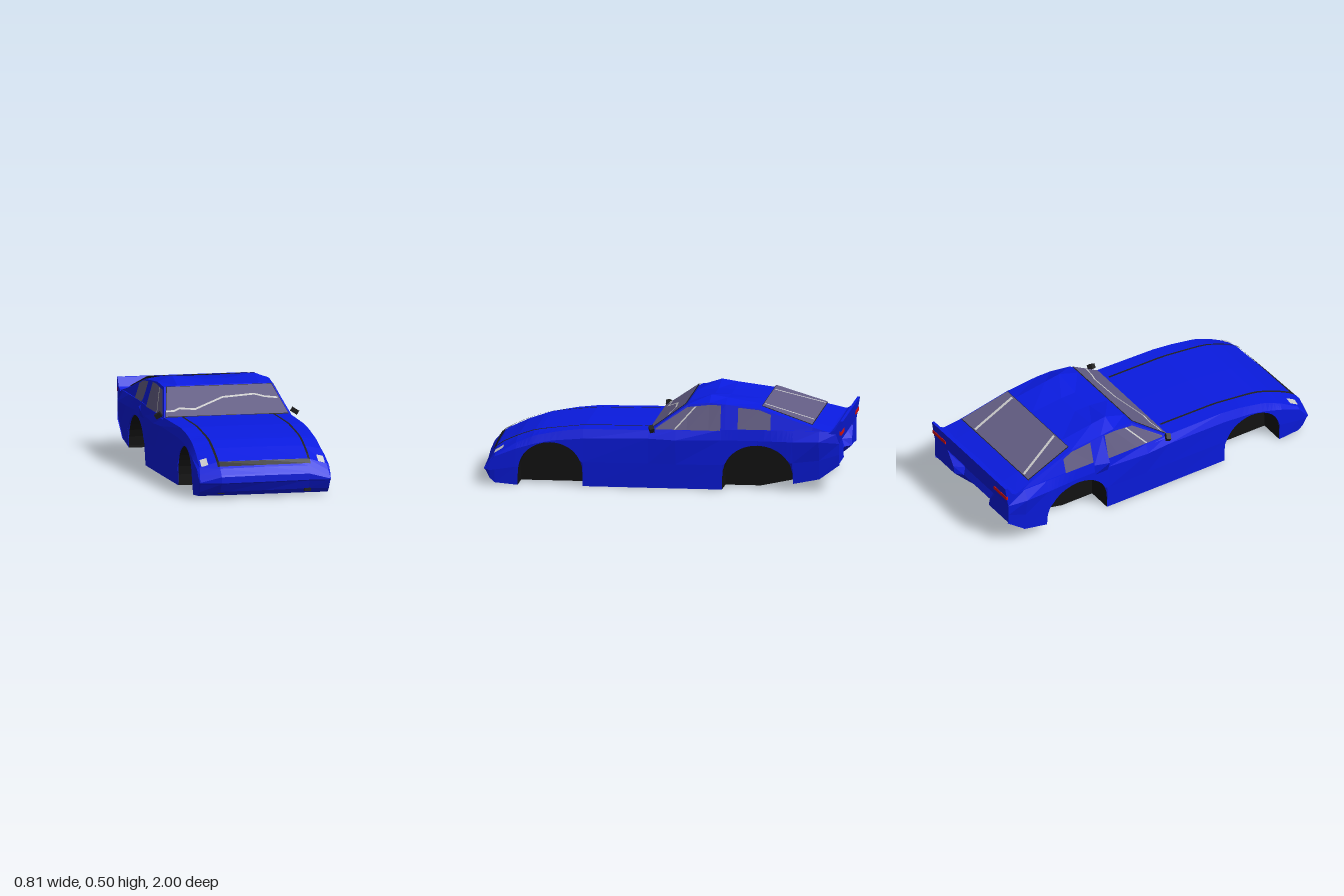
import * as THREE from 'three';

const mat = (color) => new THREE.MeshStandardMaterial({ color, flatShading: true, side: THREE.DoubleSide });
const BLUE = mat(0x0a1be0), DARK = mat(0x202020), FLOOR = mat(0x121212), GLASS = mat(0x635d84);
const PALE = mat(0xc4c4c4), RED = mat(0xd81010);
const range = (a, b, n) => Array.from({ length: n + 1 }, (_, i) => a + (b - a) * i / n);

// Body stations: z, underside y, crease y, top y, crease half width, top half width
const BODY = [
  [-0.98, 0.15, 0.27, 0.33, 0.365, 0.36], [-0.87, 0.07, 0.28, 0.335, 0.39, 0.36],
  [-0.72, 0.04, 0.275, 0.335, 0.38, 0.36], [-0.53, 0, 0.275, 0.335, 0.37, 0.36],
  [-0.33, 0, 0.275, 0.33, 0.37, 0.36], [-0.08, 0, 0.27, 0.322, 0.382, 0.36],
  [0.07, 0, 0.275, 0.318, 0.375, 0.352], [0.43, 0, 0.265, 0.315, 0.366, 0.345],
  [0.6, 0, 0.25, 0.296, 0.364, 0.345], [0.7, 0, 0.23, 0.284, 0.367, 0.347],
  [0.8, 0, 0.2, 0.25, 0.37, 0.35], [0.92, 0.01, 0.155, 0.194, 0.37, 0.355],
  [0.96, 0.035, 0.12, 0.16, 0.37, 0.36], [0.988, 0.08, 0.09, 0.128, 0.368, 0.364],
  [0.995, 0.086, 0.088, 0.118, 0.368, 0.364],
];
// Cabin stations: z, roof edge half width, edge y, ridge y, centre y
const CABIN = [
  [-0.93, 0.36, 0.33, 0.335, 0.335], [-0.83, 0.347, 0.355, 0.361, 0.361],
  [-0.54, 0.32, 0.445, 0.458, 0.456], [-0.35, 0.32, 0.464, 0.488, 0.476],
  [-0.26, 0.313, 0.47, 0.502, 0.478], [-0.14, 0.306, 0.457, 0.463, 0.463],
  [0.065, 0.352, 0.316, 0.318, 0.318],
];
// Uneven nose outline: x, setback
const NOSE = [[-0.36, 0.022], [-0.25, 0], [0, 0.012], [0.25, 0.03], [0.36, 0.022]];
// Wheel arches: centre z, half length, height of the straight part, rise
const ARCHES = [[-0.53, 0.195, 0.055, 0.195], [0.61, 0.178, 0.06, 0.18]];

// Straight-line lookup in a station table
function at(table, z) {
  let i = 0;
  while (i < table.length - 2 && z > table[i + 1][0]) i++;
  const a = table[i], b = table[i + 1];
  const t = THREE.MathUtils.clamp((z - a[0]) / (b[0] - a[0]), 0, 1);
  return a.map((v, k) => v + (b[k] - v) * t);
}

// Surface through a row of equal-length sections of [x, y, z]
function loft(sections) {
  const pos = [];
  for (let i = 0; i < sections.length - 1; i++) {
    for (let j = 0; j < sections[i].length - 1; j++) {
      const a = sections[i][j], b = sections[i][j + 1];
      const c = sections[i + 1][j + 1], d = sections[i + 1][j];
      pos.push(...a, ...b, ...c, ...a, ...c, ...d);
    }
  }
  const g = new THREE.BufferGeometry();
  g.setAttribute('position', new THREE.Float32BufferAttribute(pos, 3));
  g.computeVertexNormals();
  return g;
}

// Full section from its right half, listed from the centre line outward
const mirrorSection = (half) => [...half.slice(1).reverse().map(([x, y, z]) => [-x, y, z]), ...half];

// Sets the nose back by its outline, fading out over the front of the hood
const setBack = ([x, y, z]) => [x, y, z - at(NOSE, x)[1] * THREE.MathUtils.clamp((z - 0.9) / 0.08, 0, 1)];
const bodySection = (half) => mirrorSection(half).map(setBack);

// Lengthwise columns, doubled where an arch begins and ends
function bodyColumns() {
  const cols = [];
  const plain = (z0, z1) => [z0, ...BODY.map((s) => s[0]).filter((z) => z > z0 && z < z1), z1]
    .forEach((z) => cols.push([z, at(BODY, z)[1]]));
  let start = -0.98;
  for (const [c, r, h, rise] of ARCHES) {
    plain(start, c - r);
    for (const a of range(Math.PI, 0, 16)) {
      cols.push([c + r * Math.cos(a), h + rise * Math.max(0, Math.sin(a)) ** 0.85]);
    }
    start = c + r;
  }
  plain(start, 0.995);
  return cols;
}

const edgeDrop = (z) => 0.028 * THREE.MathUtils.clamp((z - 0.55) / 0.37, 0, 1);
const sillWidth = (w) => Math.min(w - 0.006, 0.362);

// Hood or deck line across the car
const topLine = (z, yt, wt) => [[0, yt + 0.004, z], [0.25, yt + 0.002, z], [wt, yt - edgeDrop(z), z]];

function shellSection([z, low]) {
  const [, yb, ys, yt, w, wt] = at(BODY, z);
  return bodySection([...topLine(z, yt, wt), [w, Math.max(ys, low), z],
    [Math.min(w, 0.371), Math.max(low, (ys + yb) / 2), z], [sillWidth(w), low, z]]);
}

// Underside, which also forms the tunnel and inner wall of each wheel well
function underSection([z, low]) {
  const [, yb, , , w] = at(BODY, z);
  return bodySection([[0, yb, z], [0.215, yb, z], [0.215, low, z], [0.25, low, z], [sillWidth(w), low, z]]);
}

function cabinSection([z, x, ye, yr, yc]) {
  return mirrorSection([[0, yc, z], [0.07, yc, z], [0.23, yr, z], [x, ye, z], [0.362, 0.31, z]]);
}

// Points lying just above the hood, the windscreen, the rear window and the cabin sides
function onHood(x, z, lift = 0.005) {
  const [, , , yt, , wt] = at(BODY, z);
  const t = Math.max(0, (Math.abs(x) - 0.25) / (wt - 0.25));
  const [, y, zs] = setBack([x, yt + 0.002 - t * (edgeDrop(z) + 0.002), z]);
  return [x, y + lift, zs + lift * 0.4];
}
const onScreen = (x, y, lift) => [x, y + lift, 0.065 - 0.205 * (y - 0.318) / 0.145 + lift];
const onRear = (x, z, lift) => [x, at(CABIN, z)[4] + lift, z - lift * 0.3];
function onSide(s, z, y, lift) {
  const [, x, ye] = at(CABIN, z);
  const t = (y - 0.31) / Math.max(0.02, ye - 0.31);
  return [s * (0.362 + (x - 0.362) * t + lift), y, z];
}

export function createModel() {
  const model = new THREE.Group();
  const car = new THREE.Group();
  car.name = 'car';
  car.position.x = -0.007;
  model.add(car);
  const add = (name, geometry, material) => {
    const m = new THREE.Mesh(geometry, material);
    m.name = name;
    car.add(m);
    return m;
  };

  // Body shell, underside and the blunt nose edge
  const cols = bodyColumns();
  add('bodyShell', loft(cols.map(shellSection)), BLUE);
  const under = (test) => loft(cols.filter(([z]) => test(z)).map(underSection));
  add('floorAndWheelWells', under((z) => z >= -0.871 && z <= 0.921), FLOOR);
  add('frontValance', under((z) => z >= 0.919), BLUE);
  const noseTop = bodySection(topLine(0.995, 0.118, 0.366));
  add('noseEdge', loft([noseTop, noseTop.map(([x, , z]) => [x, 0.086, z])]), BLUE);
  add('cabin', loft(CABIN.map(cabinSection)), BLUE);

  // Tail panel, hollowed in the middle; rows give y, corner z, middle z, hollow half width
  const tail = [[0.07, -0.87, -0.88, 0.13], [0.16, -0.98, -0.945, 0.13], [0.2, -0.98, -0.93, 0.14],
    [0.265, -0.98, -0.94, 0.19], [0.275, -0.98, -0.98, 0.2], [0.33, -0.985, -0.985, 0.2]];
  add('tailPanel', loft(tail.map(([y, zo, zi, h]) => [-0.365, -h - 0.04, -h, h, h + 0.04, 0.365].map((x) =>
    [x, y, Math.abs(x) <= h ? zi : zo]))), BLUE);

  // Upswept tail lip
  const lip = new THREE.Shape([[0.92, 0.325], [0.955, 0.345], [0.985, 0.394], [1, 0.394], [0.982, 0.28], [0.97, 0.28]]
    .map(([x, y]) => new THREE.Vector2(x, y)));
  const lipGeometry = new THREE.ExtrudeGeometry(lip, { depth: 0.73, bevelEnabled: false });
  lipGeometry.rotateY(Math.PI / 2).translate(-0.365, 0, 0);
  add('tailLip', lipGeometry, BLUE);

  // Flared pillar behind the right door
  add('flaredPillar', loft([
    [[-0.322, 0.462, -0.335], [-0.4, 0.325, -0.34], [-0.372, 0.26, -0.335]],
    [[-0.322, 0.452, -0.42], [-0.368, 0.32, -0.42], [-0.374, 0.26, -0.42]]]), BLUE);

  // Windscreen and rear window with dark seals
  const screen = (m, lift) => loft([[0.32 - m, 0.342 + m], [0.455 + m, 0.292 + m]]
    .map(([y, x]) => [onScreen(-x, y, lift), onScreen(x, y, lift)]));
  add('windscreenSeal', screen(0.003, 0.002), DARK);
  add('windscreen', screen(0, 0.004), GLASS);
  const streak = [[-0.335, 0.343], [-0.29, 0.344], [-0.255, 0.355], [-0.17, 0.349], [0, 0.4],
    [0.18, 0.41], [0.235, 0.397], [0.305, 0.39]];
  add('windscreenStreak', loft(streak.map(([x, y]) =>
    [onScreen(x, y - 0.004, 0.006), onScreen(x, y + 0.004, 0.006)])), PALE);
  const rear = (m, lift) => loft([[-0.548 + m, 0.3 + m], [-0.825 - m, 0.33 + m]]
    .map(([z, x]) => [onRear(-x, z, lift), onRear(x, z, lift)]));
  add('rearWindowSeal', rear(0.003, 0.004), DARK);
  add('rearWindow', rear(0, 0.007), GLASS);
  for (const [x0, x1] of [[-0.28, -0.175], [0.205, 0.24]]) {
    add('rearWindowStreak', loft([[x0, -0.82], [x1, -0.555]].map(([x, z]) =>
      [onRear(x - 0.008, z, 0.009), onRear(x + 0.008, z, 0.009)])), PALE);
  }

  // Hood front vent
  add('frontVent', loft([0.925, 0.952].map((z) => [-0.262, -0.25, 0, 0.25, 0.262].map((x) => onHood(x, z)))), DARK);

  // Parts repeated on both sides
  for (const s of [1, -1]) {
    const side = (list, lift) => loft(list.map(([z, y0, y1]) => [onSide(s, z, y0, lift), onSide(s, z, y1, lift)]));
    add('doorWindow', side([[0.03, 0.325, 0.332], [-0.14, 0.325, 0.445], [-0.26, 0.325, 0.46],
      [-0.325, 0.325, 0.46]], 0.004), GLASS);
    add('quarterWindow', side([[-0.42, 0.335, 0.45], [-0.54, 0.335, 0.438], [-0.6, 0.335, 0.416]], 0.004), GLASS);
    add('doorWindowStreak', loft([[-0.07, 0.328], [-0.18, 0.45]].map(([z, y]) =>
      [onSide(s, z, y, 0.006), onSide(s, z - 0.01, y, 0.006)])), PALE);
    add('hoodStrip', loft(range(0.08, 0.93, 16).map((z) =>
      [onHood(s * 0.25, z), onHood(s * 0.262, z)])), DARK);
    add('headlight', loft([0.868, 0.925].map((z) => [onHood(s * 0.308, z), onHood(s * 0.346, z)])), PALE);
    add('tailLight', new THREE.BoxGeometry(0.125, 0.02, 0.012), RED).position.set(s * 0.304, 0.328, -0.988);
    add('bumperVent', new THREE.BoxGeometry(0.036, 0.016, 0.02), DARK).position.set(s * 0.242, 0.03, 0.936);
    const mirror = add('sideMirror', new THREE.BoxGeometry(0.036, 0.026, 0.026), DARK);
    mirror.position.set(s * 0.382, 0.331, 0.05);
    mirror.rotation.set(0.2, s * 0.3, s * -0.6);
  }
  return model;
}
